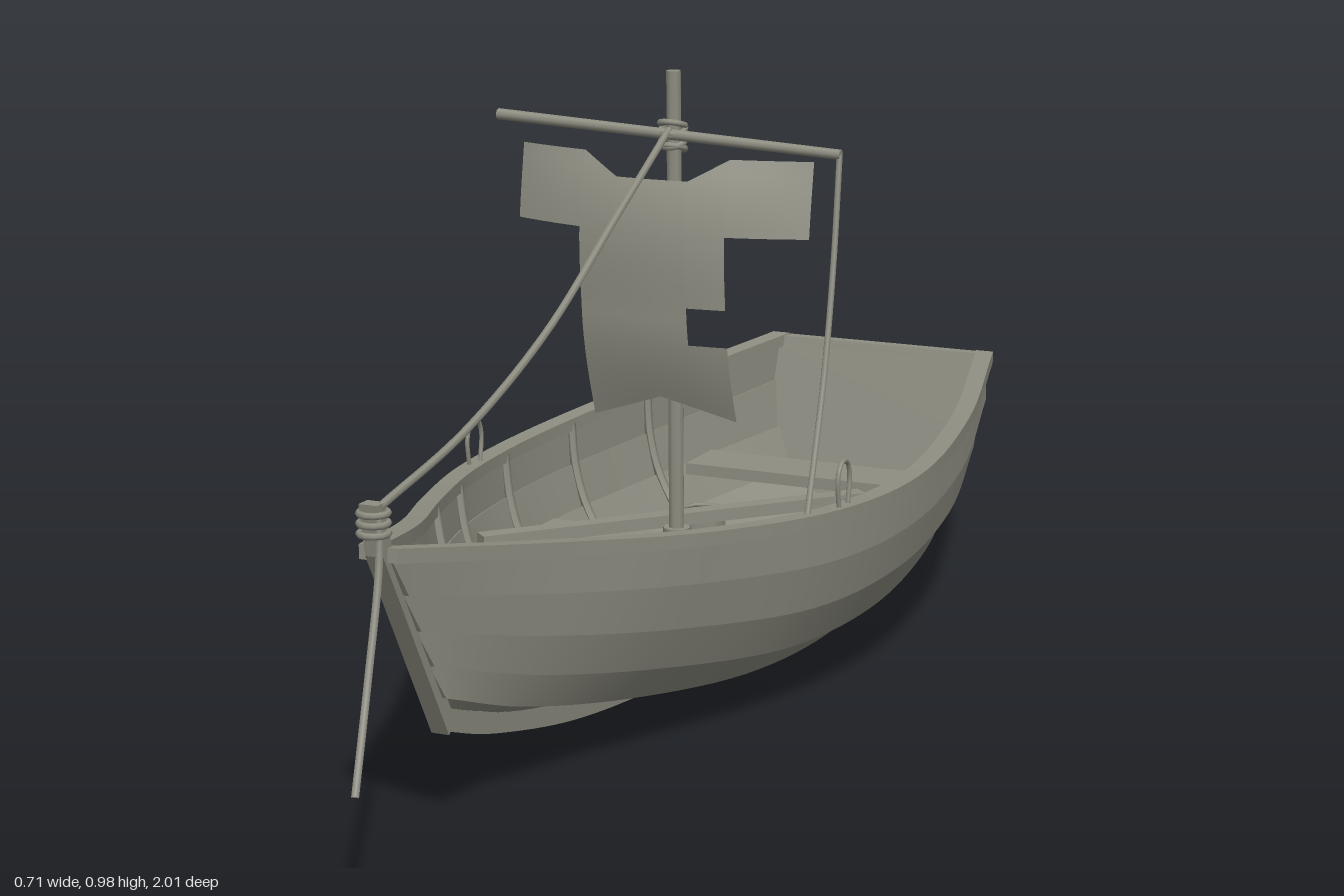
import * as THREE from 'three';

const V = (x, y, z) => new THREE.Vector3(x, y, z);
const wood = new THREE.MeshStandardMaterial({ color: 0x8e8e82 });
wood.name = 'weathered wood';
const cloth = new THREE.MeshStandardMaterial({ color: 0x939387, side: THREE.DoubleSide });
cloth.name = 'sail cloth';

// Hull stations from stern to bow: z, then half-widths and heights of the six plank seams
const STATIONS = [
  [-0.93, [.2, .2, .185, .15, .085, 0], [.365, .29, .205, .13, .085, .06]],
  [-0.6, [.298, .293, .273, .232, .165, 0], [.335, .257, .182, .112, .064, .04]],
  [-0.25, [.34, .332, .31, .266, .196, 0], [.32, .247, .175, .105, .056, .034]],
  [0.02, [.313, .304, .28, .236, .17, 0], [.326, .252, .178, .11, .062, .04]],
  [0.3, [.225, .212, .188, .15, .1, 0], [.35, .28, .21, .145, .093, .07]],
  [0.55, [.122, .112, .096, .072, .044, 0], [.385, .318, .255, .195, .145, .12]],
  [0.69, [.016, .014, .012, .012, .011, 0], [.438, .37, .31, .25, .195, .165]],
];
const seams = [0, 1, 2, 3, 4, 5].map(k => new THREE.CatmullRomCurve3(STATIONS.map(([z, X, Y], i) => {
  if (i === 0) z -= 0.07 * (Y[k] - 0.06) / 0.31;      // raked transom
  if (i === 6) z += (Y[k] - 0.165) * 0.6;             // raked stem
  return V(X[k], Y[k], z);
})));
const STEPS = 42;
const seamAt = (k, i) => seams[k].getPoint(i / STEPS);
function tAtZ(z) {
  let lo = 0, hi = 1;
  for (let i = 0; i < 30; i++) {
    const m = (lo + hi) / 2;
    if (seams[1].getPoint(m).z < z) lo = m; else hi = m;
  }
  return lo;
}

// Closed loft, smooth lengthwise, sharp between the sides of the cross-section
function loft(rings) {
  const pos = [], idx = [], n = rings[0].length, m = rings.length;
  for (let j = 0; j < n; j++) {
    const base = pos.length / 3;
    for (const r of rings) pos.push(...r[j].toArray(), ...r[(j + 1) % n].toArray());
    for (let i = 0; i < m - 1; i++) {
      const p = base + i * 2;
      idx.push(p, p + 2, p + 3, p, p + 3, p + 1);
    }
  }
  [rings[0], [...rings[m - 1]].reverse()].forEach(r => {
    const base = pos.length / 3;
    r.forEach(p => pos.push(...p.toArray()));
    for (let j = 1; j < n - 1; j++) idx.push(base, base + j, base + j + 1);
  });
  const g = new THREE.BufferGeometry();
  g.setAttribute('position', new THREE.Float32BufferAttribute(pos, 3));
  g.setIndex(idx);
  g.computeVertexNormals();
  return g;
}
function mirrored(geo) {
  const g = geo.clone().scale(-1, 1, 1), a = g.index.array;
  for (let i = 0; i < a.length; i += 3) [a[i], a[i + 1]] = [a[i + 1], a[i]];
  g.computeVertexNormals();
  return g;
}
const tube = (pts, r, seg = 24) =>
  new THREE.TubeGeometry(new THREE.CatmullRomCurve3(pts), seg, r, 6);

// Straight round spar between two points
function spar(a, b, r0, r1, sides = 8) {
  const g = new THREE.CylinderGeometry(r1, r0, a.distanceTo(b), sides);
  g.applyQuaternion(new THREE.Quaternion().setFromUnitVectors(V(0, 1, 0), b.clone().sub(a).normalize()));
  return g.translate(...a.clone().add(b).multiplyScalar(0.5).toArray());
}

export function createModel() {
  const boat = new THREE.Group();
  boat.name = 'boat';
  const add = (name, geo, mat = wood) => {
    const m = new THREE.Mesh(geo, mat);
    m.name = name;
    boat.add(m);
    return m;
  };
  const both = (name, geo) => { add(name + 'Left', geo); add(name + 'Right', mirrored(geo)); };
  const box = (name, w, h, d, x, y, z) => add(name, new THREE.BoxGeometry(w, h, d).translate(x, y, z));

  // Overlapping hull planks
  for (let k = 0; k < 5; k++) {
    const rings = [];
    for (let i = 0; i <= STEPS; i++) {
      const a = seamAt(k, i), b = seamAt(k + 1, i);
      const d = V(b.x - a.x, b.y - a.y, 0).normalize(), n = V(-d.y, d.x, 0);
      const off = (p, s) => { const q = p.clone().addScaledVector(n, s); q.x = Math.max(q.x, 0); return q; };
      const lap = k < 4 ? 0.009 : 0;
      rings.push([off(a, 0), off(b, lap), off(b, -0.006), off(a, -0.01)]);
    }
    both('plank' + (k + 1), loft(rings));
  }

  // Gunwale rails
  const rail = [];
  for (let i = 0; i <= STEPS; i++) {
    const p = seamAt(0, i), at = (x, y) => V(Math.max(p.x + x, 0), p.y + y, p.z);
    rail.push([at(.014, .009), at(.014, -.012), at(-.018, -.012), at(-.018, .009)]);
  }
  both('gunwale', loft(rail));

  // Raked transom
  const [, TX, TY] = STATIONS[0];
  const right = TX.map((x, k) => new THREE.Vector2(x + (k < 5 ? 0.003 : 0), TY[k] + (k ? 0 : .006)));
  const curve = new THREE.SplineCurve([...right, ...right.slice(0, 5).reverse().map(p => new THREE.Vector2(-p.x, p.y))]);
  const transom = new THREE.ExtrudeGeometry(new THREE.Shape(curve.getPoints(40)), { depth: 0.022, bevelEnabled: false });
  const tp = transom.attributes.position;
  for (let i = 0; i < tp.count; i++)
    tp.setZ(i, tp.getZ(i) - 0.936 - 0.07 * (tp.getY(i) - 0.06) / 0.31);
  transom.computeVertexNormals();
  add('transom', transom);

  // Keel and stem, cut from side profiles (z, y)
  const sideCut = (name, shape, w) => add(name, new THREE.ExtrudeGeometry(shape, { depth: w, bevelEnabled: false })
    .translate(0, 0, -w / 2).rotateY(-Math.PI / 2));
  const keelLine = [[-.915, .035], [-.6, .01], [-.25, 0], [.02, .007], [.3, .04], [.55, .095], [.69, .14]];
  const keelPts = new THREE.SplineCurve(keelLine.map(p => new THREE.Vector2(...p))).getPoints(40);
  sideCut('keel', new THREE.Shape([...keelPts, ...keelPts.map(p => new THREE.Vector2(p.x, p.y + 0.034)).reverse()]), 0.026);
  const stem = [[.69, .135], [.865, .435], [.88, .51], [.856, .51], [.84, .435], [.67, .15]];
  sideCut('stem', new THREE.Shape(stem.map(p => new THREE.Vector2(...p))), 0.028);

  // Ribs
  for (const z of [-.6, -.37, -.13, .12, .33]) {
    const t = tAtZ(z);
    const pts = [0, 1, 2, 3, 4].map(k => {
      const p = seams[k].getPoint(t);
      return V(p.x - 0.012, p.y + k * 0.002, z);
    });
    both('rib', tube(pts, 0.008, 14));
  }

  // Floorboards and thwarts
  for (const [x, w] of [[-.088, .077], [0, .07], [.08, .072]])
    box('floorboard', w, 0.012, 0.86, x, 0.09, -0.17);
  for (const [z, w, d, y] of [[-.665, .43, .11, .2], [-.13, .51, .085, .2], [.325, .31, .09, .22]])
    box('thwart', w, 0.02, d, 0, y, z);

  // Mast, collars, yard and lashing
  add('mast', spar(V(0, .08, -.105), V(0, .975, -.087), 0.013, 0.012));
  for (const y of [.11, .215, .235])
    add('mastCollar', new THREE.CylinderGeometry(.022, .022, .014, 10).translate(0, y, -.102));
  add('yard', spar(V(-.298, .892, -.072), V(.286, .864, -.072), 0.009, 0.008));
  for (let i = 0; i < 5; i++) {
    const ring = new THREE.TorusGeometry(.02, .005, 6, 14).rotateX(Math.PI / 2 + (i % 2 ? .35 : -.3));
    add('lashing', ring.translate(0, .856 + i * .009, -.084));
  }

  // Torn sail: four-cornered panels bent to a common belly
  const belly = (x, y) => -.062 + .06 * Math.sin(Math.PI * THREE.MathUtils.clamp((y - .42) / .43, 0, 1)) * (1 - 10 * x * x)
    + .045 * (1 - 16 * x * x) * THREE.MathUtils.smoothstep(y, .6, .85);
  const panel = (name, x0, x1, b0, b1, t0, t1, lift = 0) => {
    const g = new THREE.PlaneGeometry(1, 1, 8, 10), p = g.attributes.position;
    for (let i = 0; i < p.count; i++) {
      const u = p.getX(i) + .5, v = p.getY(i) + .5, x = x0 + (x1 - x0) * u;
      const y = THREE.MathUtils.lerp(b0 + (b1 - b0) * u, t0 + (t1 - t0) * u, v);
      p.setXYZ(i, x, y, belly(x, y) + lift);
    }
    g.computeVertexNormals();
    add(name, g, cloth);
  };
  panel('sail', -.247, -.123, .735, .735, .852, .852);
  panel('sail', .123, .247, .735, .735, .852, .852);
  panel('sail', -.123, -.06, .735, .735, .852, .817);
  panel('sail', -.06, .06, .735, .735, .817, .817);
  panel('sail', .06, .123, .735, .735, .817, .852);
  panel('sail', -.123, .06, .62, .62, .735, .735);
  panel('sail', .06, .123, .62, .62, .735, .735);
  panel('sail', -.123, .06, .56, .56, .62, .62);
  panel('sail', -.123, 0, .425, .468, .56, .56);
  panel('sail', 0, .06, .468, .452, .56, .56);
  panel('sail', .06, .123, .452, .435, .56, .56);
  panel('sailPatch', -.117, -.047, .618, .618, .675, .675, .004);

  // Ropes
  add('forestay', tube([V(0, .885, -.07), V(.002, .78, .12), V(.006, .65, .36), V(.01, .556, .625), V(.01, .505, .865)], .006, 30));
  add('bowLine', tube([V(.012, .5, .87), V(.016, .42, .882), V(.025, .29, .93), V(.042, .147, 1)], .006));
  add('sheet', tube([V(.284, .864, -.072), V(.288, .7, -.042), V(.293, .54, .002), V(.3, .34, .08)], .005));
  for (const y of [.468, .482, .496])
    add('stemLashing', new THREE.TorusGeometry(.02, .005, 6, 12).rotateX(Math.PI / 2).translate(0, y, .865));
  const coil = [];
  for (let i = 0; i <= 48; i++) {
    const a = i / 48 * Math.PI * 6, r = .025 + .05 * i / 48;
    coil.push(V(.03 + r * Math.cos(a), .104, .14 + r * Math.sin(a)));
  }
  add('ropeCoil', tube(coil, .006, 110));

  // Oarlocks
  for (const s of [-1, 1]) {
    add('oarlock', tube([V(s * .319, .33, -.036), V(s * .319, .375, -.042), V(s * .319, .397, -.033), V(s * .319, .403, -.018),
      V(s * .319, .397, -.003), V(s * .319, .375, .006), V(s * .319, .33, 0)], .004));
  }

  // Loose oar lying across the middle thwart
  const oar = box('oar', .03, .02, .68, 0, 0, 0);
  oar.position.set(-.04, .232, -.185);
  oar.rotation.y = Math.atan2(.44, -.51);

  // Bucket
  const bucket = new THREE.CylinderGeometry(.043, .035, .08, 8, 1, true).translate(-.105, .136, -.44);
  add('bucket', bucket, cloth);
  add('bucketRim', new THREE.TorusGeometry(.042, .004, 5, 8).rotateX(Math.PI / 2).translate(-.105, .176, -.44));

  // Peg heads on the planking
  for (const [k, z] of [[1, .0], [2, .1], [2, .24], [3, .2], [3, .36]]) {
    const t = tAtZ(z), p = seams[k].getPoint(t).lerp(seams[k + 1].getPoint(t), .6);
    add('peg', new THREE.SphereGeometry(.006, 6, 5).translate(-p.x - .005, p.y, p.z));
  }
  return boat;
}
